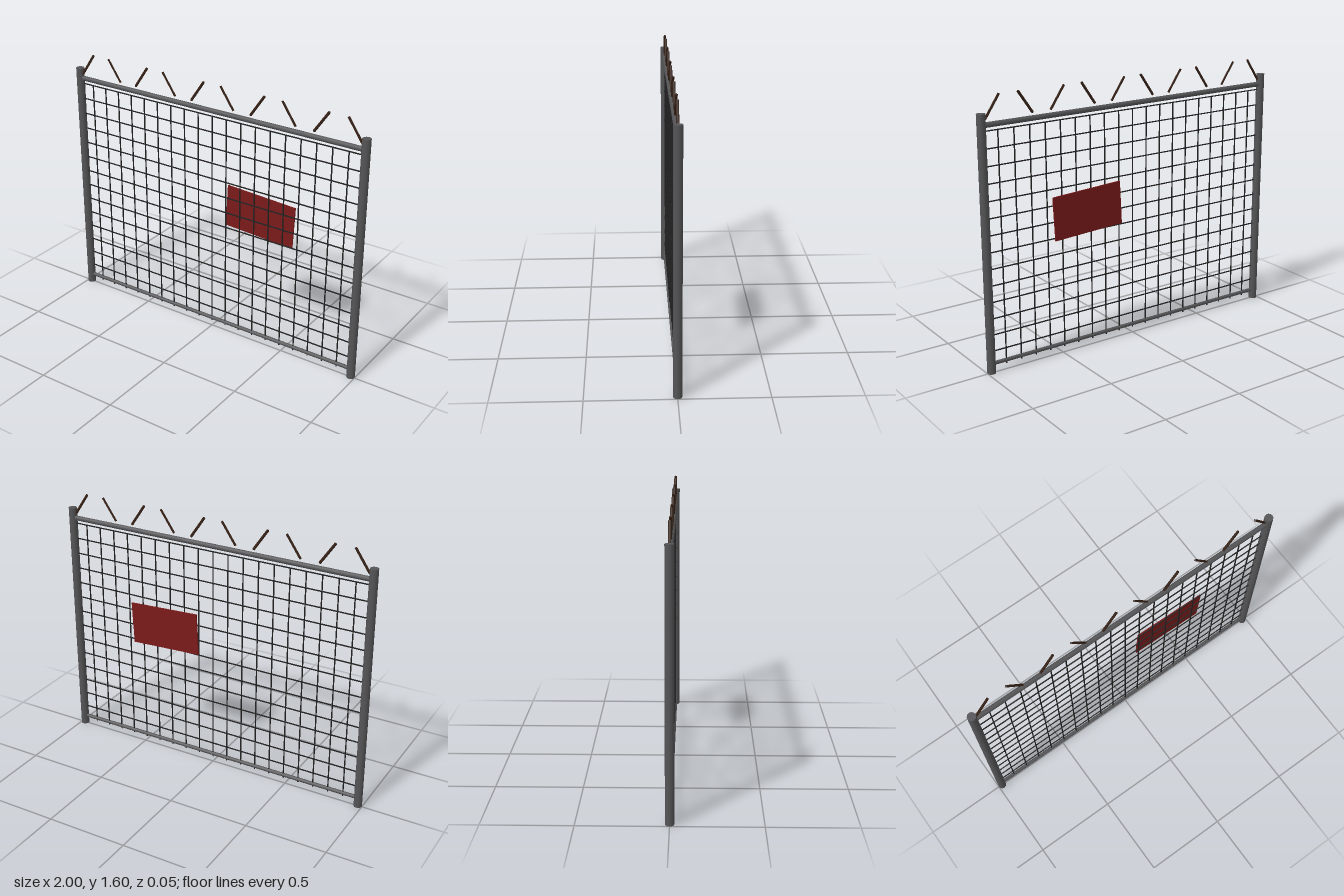
import * as THREE from 'three';

const material = (color) => {
  const m = new THREE.MeshStandardMaterial();
  m.color.set(color);
  return m;
};

export function createModel() {
  const fence = new THREE.Group();
  fence.name = 'fencePanel';
  const steel = material(0x555557);
  const wire = material(0x222222);
  const rust = material(0x3a2418);
  const red = material(0x7a1a1a);

  const add = (name, parent, geometry, mat, x, y, z = 0, turn = 0) => {
    const mesh = new THREE.Mesh(geometry, mat);
    mesh.name = name;
    mesh.position.set(x, y, z);
    mesh.rotation.z = turn;
    parent.add(mesh);
  };
  const group = (name) => {
    const g = new THREE.Group();
    g.name = name;
    fence.add(g);
    return g;
  };

  // Posts and rails
  const postX = 0.975;
  const post = new THREE.CylinderGeometry(0.025, 0.025, 1.495, 12);
  add('leftPost', fence, post, steel, postX, 0.7475);
  add('rightPost', fence, post, steel, -postX, 0.7475);
  const rail = (radius) => new THREE.CylinderGeometry(radius, radius, 2 * postX, 8);
  add('topRail', fence, rail(0.0155), steel, 0, 1.431, 0, Math.PI / 2);
  add('bottomRail', fence, rail(0.0115), steel, 0, 0.056, 0, Math.PI / 2);

  // Square wire mesh
  const pitch = 0.0975, gauge = 0.0058;
  const wireTop = 1.4, wireBottom = 0.036;
  const mesh = group('wireMesh');
  const vertical = new THREE.BoxGeometry(gauge, wireTop - wireBottom, gauge);
  const horizontal = new THREE.BoxGeometry(2 * postX, gauge, gauge);
  for (let i = -9; i <= 9; i++) {
    add('verticalWire', mesh, vertical, wire, i * pitch, (wireTop + wireBottom) / 2);
  }
  for (let i = 0; i < 14; i++) {
    add('horizontalWire', mesh, horizontal, wire, 0, 1.398 - i * pitch);
  }

  // Slanted spikes along the top, leaning alternately
  const spikes = group('spikes');
  const spike = new THREE.CylinderGeometry(0.008, 0.008, 0.156, 4);
  for (let i = 0; i < 10; i++) {
    add('spike', spikes, spike, rust, (i - 4.5) * 0.2015, 1.527, 0, i % 2 ? 0.6 : -0.6);
  }

  // Crooked warning plate behind the wires
  const plate = new THREE.BoxGeometry(0.455, 0.26, 0.008);
  add('signPlate', fence, plate, red, 0.324, 0.846, -0.016, -0.05);

  return fence;
}
